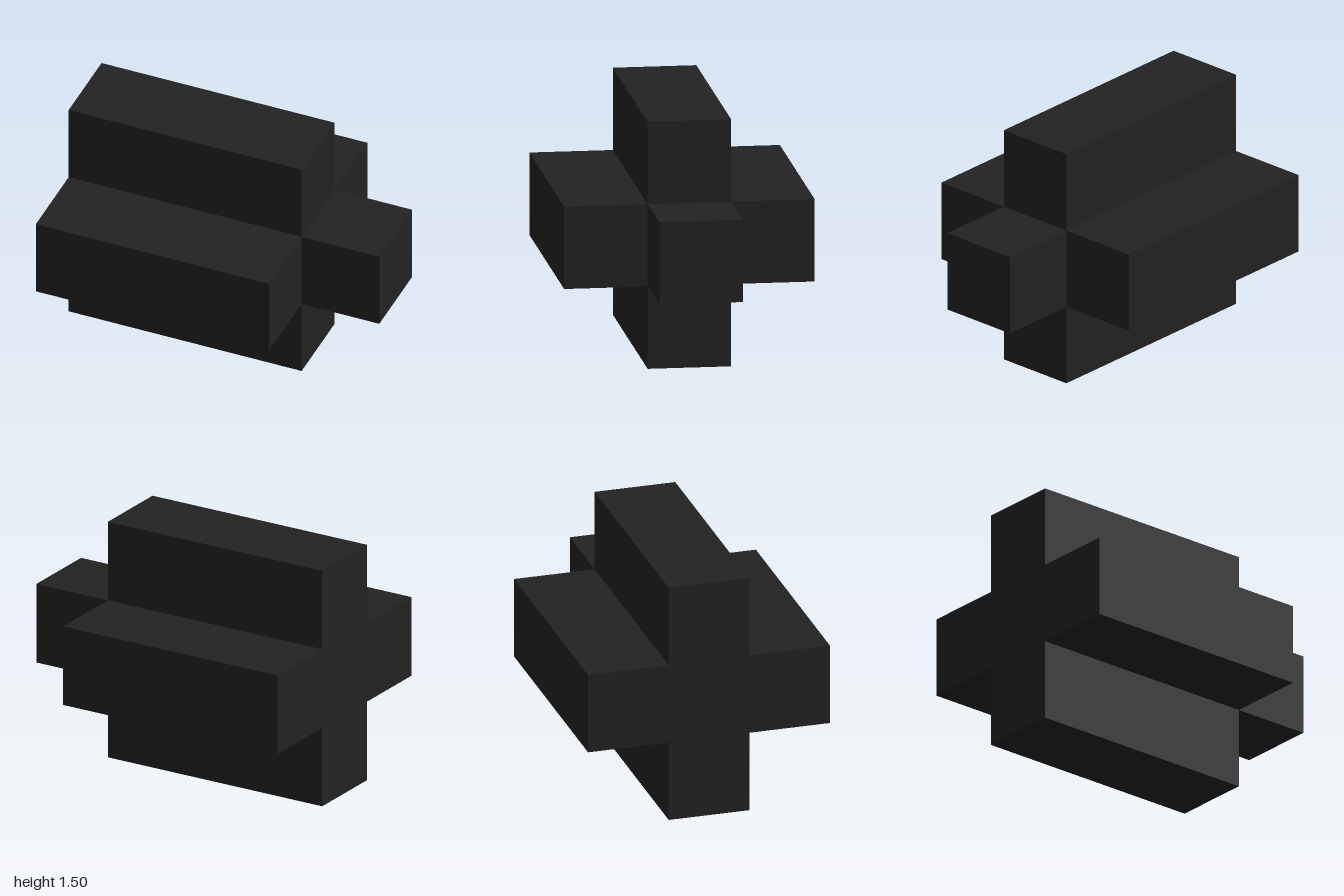
import * as THREE from 'three';

export function createModel() {
  const group = new THREE.Group();
  const charcoal = new THREE.MeshStandardMaterial({ color: 0x222222 });
  charcoal.name = 'charcoal';

  const a = 0.25; // half width of each bar
  const b = 0.75; // reach of each arm from the axis

  // Plus-shaped bar running along x, from -1 to 0.5
  const plus = new THREE.Shape([
    [a, -b], [a, -a], [b, -a], [b, a], [a, a], [a, b],
    [-a, b], [-a, a], [-b, a], [-b, -a], [-a, -a], [-a, -b],
  ].map(([x, y]) => new THREE.Vector2(x, y)));
  const barGeometry = new THREE.ExtrudeGeometry(plus, { depth: 1.5, bevelEnabled: false });
  barGeometry.rotateY(Math.PI / 2);
  const bar = new THREE.Mesh(barGeometry, charcoal);
  bar.name = 'crossBar';
  bar.position.set(-1, b, 0);
  group.add(bar);

  // Square stub on the left end
  const stub = new THREE.Mesh(new THREE.BoxGeometry(0.5, 2 * a, 2 * a), charcoal);
  stub.name = 'endStub';
  stub.position.set(0.75, b, 0);
  group.add(stub);

  return group;
}
